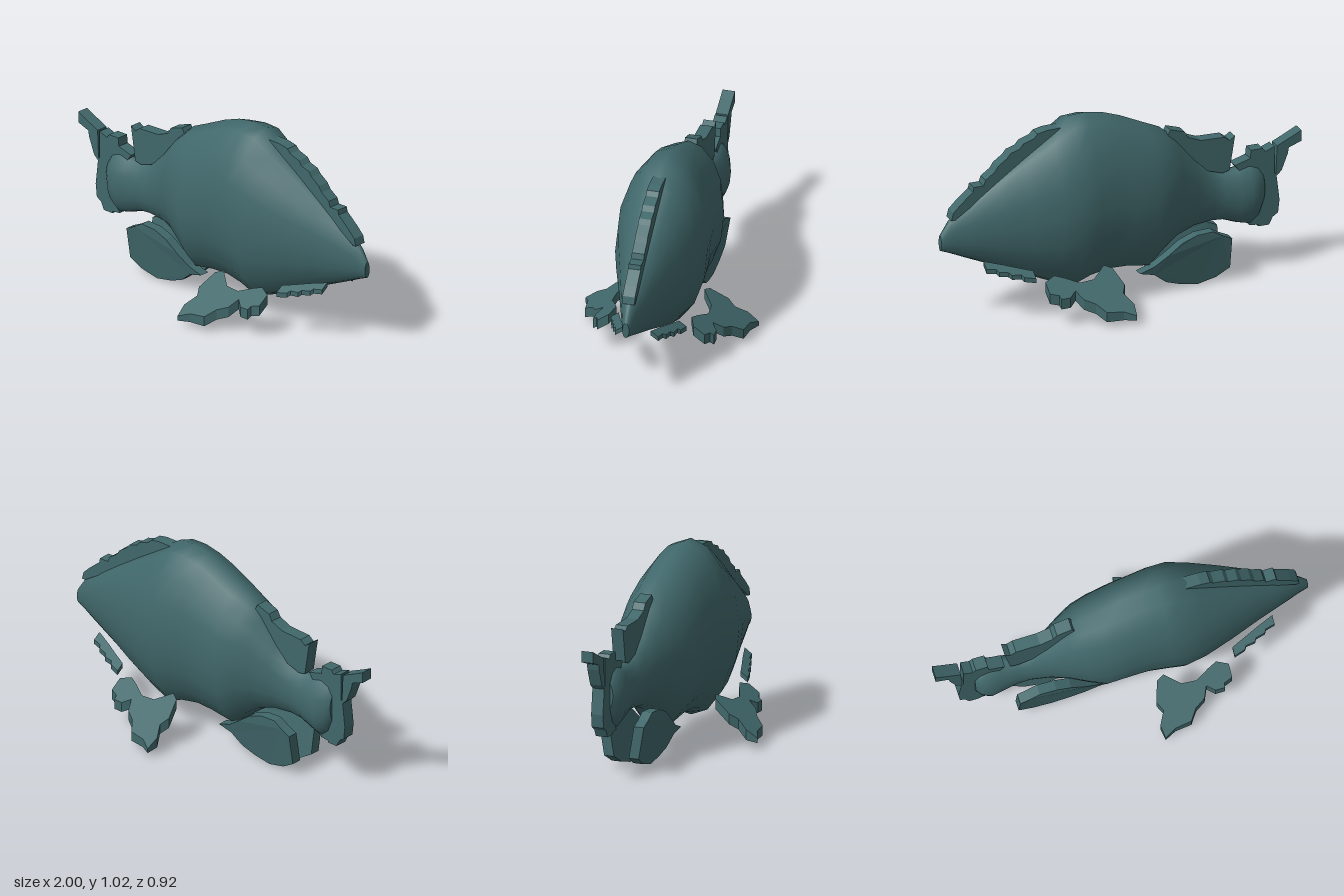
import * as THREE from 'three';

const skin = new THREE.MeshStandardMaterial({ color: 0x41686b });
skin.name = 'tealSkin';

function part(name, geometry) {
  const mesh = new THREE.Mesh(geometry, skin);
  mesh.name = name;
  return mesh;
}

// Extruded plate, centred on its own thickness
function plate(points, depth) {
  const shape = new THREE.Shape(points.map(([x, y]) => new THREE.Vector2(x, y)));
  const geometry = new THREE.ExtrudeGeometry(shape, { depth, bevelEnabled: false });
  return geometry.translate(0, 0, -depth / 2);
}

// Move every vertex by a rule
function warp(geometry, rule) {
  const pos = geometry.attributes.position;
  const v = new THREE.Vector3();
  for (let i = 0; i < pos.count; i++) {
    v.fromBufferAttribute(pos, i);
    rule(v);
    pos.setXYZ(i, v.x, v.y, v.z);
  }
  geometry.computeVertexNormals();
  return geometry;
}

// Body stations from tail to snout: x, top, bottom, half width
const stations = [
  [-0.79, 0.54, 0.36, 0.05], [-0.76, 0.58, 0.29, 0.075], [-0.71, 0.595, 0.255, 0.09],
  [-0.65, 0.58, 0.27, 0.08], [-0.57, 0.57, 0.3, 0.07], [-0.5, 0.59, 0.305, 0.072],
  [-0.4, 0.685, 0.295, 0.1], [-0.3, 0.805, 0.26, 0.147], [-0.22, 0.875, 0.2, 0.185],
  [-0.13, 0.915, 0.12, 0.212], [0, 0.975, 0.138, 0.22], [0.1, 1.01, 0.14, 0.223],
  [0.2, 1.025, 0.12, 0.235], [0.29, 1.02, 0.085, 0.24], [0.4, 0.945, 0.125, 0.22],
  [0.55, 0.845, 0.19, 0.173], [0.7, 0.74, 0.26, 0.12], [0.85, 0.63, 0.325, 0.07],
  [0.95, 0.55, 0.37, 0.035], [1, 0.475, 0.39, 0.018],
];

function bodyGeometry() {
  const SIDES = 16, pos = [], index = [];
  const ring = ([x, top, bottom, w]) => {
    const start = pos.length / 3;
    for (let j = 0; j < SIDES; j++) {
      const a = (j / SIDES) * Math.PI * 2;
      pos.push(x, (top + bottom) / 2 + Math.cos(a) * (top - bottom) / 2, Math.sin(a) * w);
    }
    return start;
  };
  const starts = stations.map(ring);
  for (let i = 0; i < starts.length - 1; i++) {
    for (let j = 0; j < SIDES; j++) {
      const k = (j + 1) % SIDES, a = starts[i], b = starts[i + 1];
      index.push(a + j, a + k, b + j, a + k, b + k, b + j);
    }
  }
  // Flat ends use their own rings so the rim stays sharp
  const tail = ring(stations[0]), nose = ring(stations[stations.length - 1]);
  for (let j = 1; j < SIDES - 1; j++) {
    index.push(tail, tail + j + 1, tail + j, nose, nose + j, nose + j + 1);
  }
  const geometry = new THREE.BufferGeometry();
  geometry.setAttribute('position', new THREE.Float32BufferAttribute(pos, 3));
  geometry.setIndex(index);
  geometry.computeVertexNormals();
  return geometry;
}

// Upright fins on the centre line
const FIN = 0.066;
const centreFins = {
  spinyDorsalFin: [
    [0.34, 0.975], [0.42, 0.973], [0.47, 0.962], [0.49, 0.94], [0.55, 0.92], [0.57, 0.895],
    [0.62, 0.88], [0.64, 0.855], [0.69, 0.82], [0.71, 0.79], [0.76, 0.755], [0.77, 0.725],
    [0.825, 0.725], [0.83, 0.7], [0.9, 0.64], [0.94, 0.6], [0.95, 0.56], [0.93, 0.56],
    [0.8, 0.645], [0.6, 0.785], [0.4, 0.915],
  ],
  softDorsalFin: [
    [-0.63, 0.765], [-0.6, 0.745], [-0.57, 0.768], [-0.44, 0.772], [-0.37, 0.8], [-0.35, 0.835],
    [-0.27, 0.86], [-0.24, 0.8], [-0.4, 0.62], [-0.56, 0.57], [-0.6, 0.58],
  ],
  tailTip: [
    [-1, 0.735], [-0.95, 0.71], [-0.865, 0.67], [-0.857, 0.5], [-0.89, 0.53],
    [-0.925, 0.62], [-0.93, 0.65], [-1, 0.675],
  ],
  tailUpperLobe: [
    [-0.85, 0.67], [-0.8, 0.65], [-0.785, 0.67], [-0.72, 0.67], [-0.715, 0.625], [-0.63, 0.6],
    [-0.66, 0.56], [-0.74, 0.5], [-0.79, 0.46], [-0.85, 0.5],
  ],
  tailLowerLobe: [
    [-0.86, 0.52], [-0.77, 0.5], [-0.74, 0.33], [-0.71, 0.255], [-0.76, 0.25], [-0.76, 0.24],
    [-0.82, 0.24], [-0.84, 0.28], [-0.87, 0.3], [-0.878, 0.37],
  ],
};

// Broad rounded paddle, side outline
const paddle = [
  [-0.575, 0.24], [-0.52, 0.265], [-0.47, 0.295], [-0.38, 0.29], [-0.3, 0.26], [-0.22, 0.2],
  [-0.15, 0.15], [-0.07, 0.12], [-0.15, 0.1], [-0.22, 0.045], [-0.3, 0.018], [-0.4, 0],
  [-0.5, 0.025], [-0.575, 0.07],
];

// Sloping side fin and cheek spines, plan outlines as [x, outward z]
const pectoral = [
  [0.1, 0.46], [0.16, 0.43], [0.25, 0.42], [0.29, 0.37], [0.345, 0.34], [0.37, 0.29],
  [0.41, 0.32], [0.46, 0.32], [0.465, 0.3], [0.51, 0.285], [0.51, 0.225], [0.45, 0.2],
  [0.4, 0.22], [0.33, 0.255], [0.25, 0.25], [0.17, 0.19], [0.13, 0.21], [0.1, 0.3],
  [0.125, 0.34], [0.09, 0.4],
];
const cheek = [
  [0.55, 0.2], [0.61, 0.185], [0.62, 0.17], [0.67, 0.165], [0.68, 0.15], [0.73, 0.14],
  [0.74, 0.125], [0.79, 0.115], [0.79, 0.075], [0.7, 0.105], [0.62, 0.135], [0.55, 0.16],
];

// Plates lying on the plane that falls away from the belly
function slopedPlate(outline, side, thickness) {
  const flat = plate(outline.map(([x, z]) => [x, -side * z]), thickness).rotateX(-Math.PI / 2);
  return warp(flat, (v) => {
    v.y = Math.max(0.03, v.y - thickness / 2 + 0.23 - 0.7 * (Math.abs(v.z) - 0.21));
  });
}

export function createModel() {
  const fish = new THREE.Group();
  fish.name = 'fish';
  fish.add(part('body', bodyGeometry()));

  for (const [name, outline] of Object.entries(centreFins)) {
    fish.add(part(name, plate(outline, FIN)));
  }

  // Paired fins, the head points to +x
  for (const side of [1, -1]) {
    const label = side > 0 ? 'Near' : 'Far';
    const pelvic = warp(plate(paddle, 0.055), (v) => { v.z += side * (0.056 + 0.19 * Math.min(v.y, 0.22)); });
    fish.add(part('pelvicFin' + label, pelvic));
    fish.add(part('pectoralFin' + label, slopedPlate(pectoral, side, 0.055)));
    fish.add(part('cheekSpines' + label, slopedPlate(cheek, side, 0.025)));
  }
  return fish;
}
